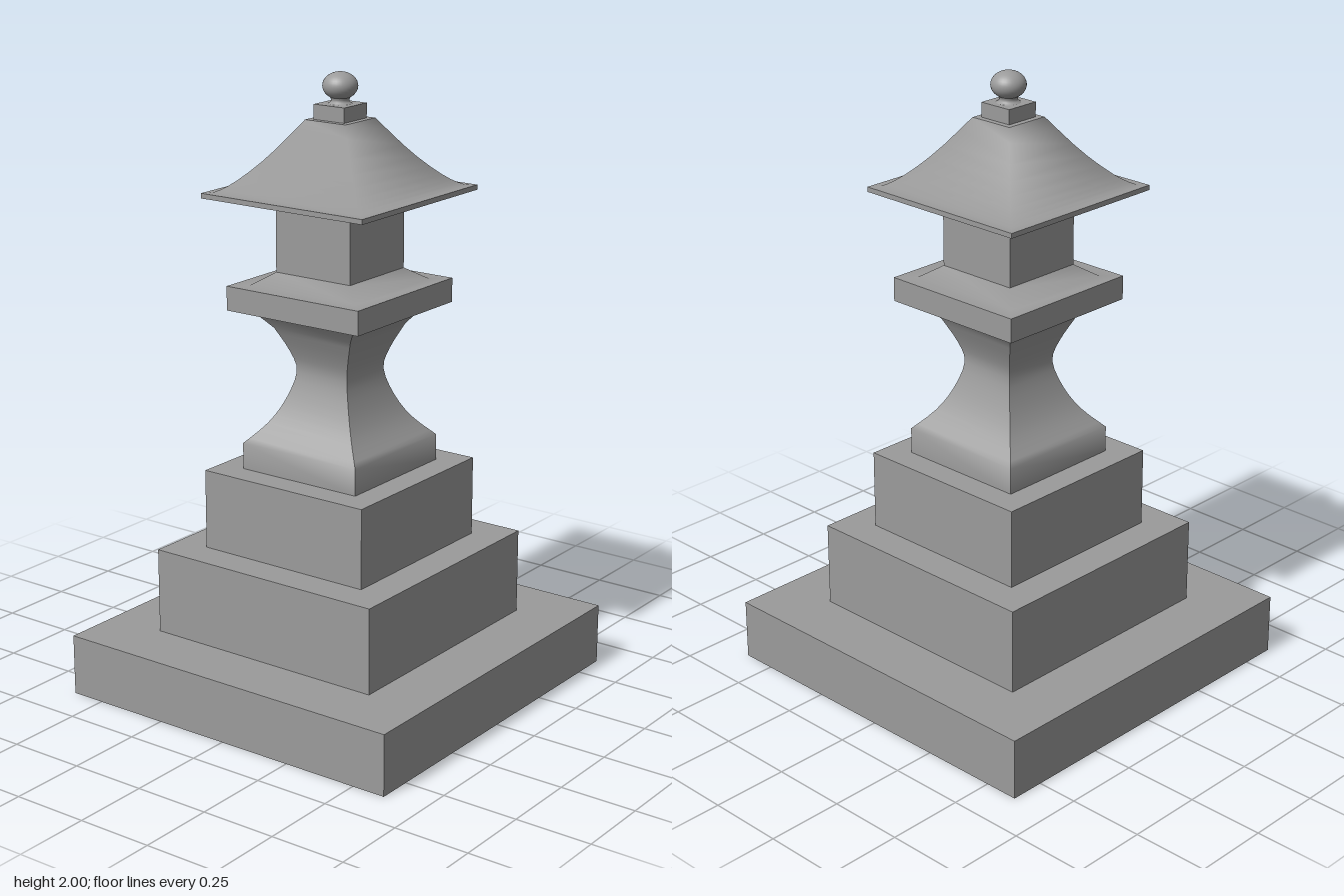
import * as THREE from 'three';
import { toCreasedNormals } from 'three/addons/utils/BufferGeometryUtils.js';

const material = new THREE.MeshStandardMaterial({ color: 0x9b9b9b });

export function createModel() {
  const group = new THREE.Group();

  function add(name, geometry, y = 0) {
    const mesh = new THREE.Mesh(geometry, material);
    mesh.name = name;
    mesh.position.y = y;
    group.add(mesh);
    return mesh;
  }

  // Square block given by its half width and height range
  function block(name, half, y0, y1) {
    add(name, new THREE.BoxGeometry(half * 2, y1 - y0, half * 2), (y0 + y1) / 2);
  }

  // Square-section solid following a [halfWidth, y] profile, bottom to top
  function squareLoft(name, profile, crease) {
    const points = profile.map(([half, y]) => new THREE.Vector2(half * Math.SQRT2, y));
    const geometry = new THREE.LatheGeometry(points, 4, Math.PI / 4);
    add(name, toCreasedNormals(geometry, crease));
  }

  // Smooth run of profile points through a few guides
  const smooth = (guides, count) =>
    new THREE.SplineCurve(guides.map(([a, b]) => new THREE.Vector2(a, b)))
      .getPoints(count).map((p) => [p.x, p.y]);

  // Stepped base
  block('basePlinth', 0.613, 0, 0.2);
  block('middleStep', 0.416, 0.2, 0.48);
  block('upperStep', 0.306, 0.48, 0.74);

  // Waisted post with a flared head
  squareLoft('post', [
    [0.22, 0.74],
    ...smooth([[0.22, 0.825], [0.163, 0.89], [0.123, 0.965], [0.098, 1.053], [0.112, 1.12], [0.148, 1.2]], 15),
    [0.2, 1.262],
  ], 1.0);

  // Platform with a sloped top, and the lamp chamber standing on it
  squareLoft('platform', [
    [0, 1.262], [0.252, 1.262], [0.252, 1.34], [0.2, 1.34], [0.142, 1.379],
  ], 1.0);
  block('lampChamber', 0.142, 1.379, 1.584);

  // Eaves with a sloping soffit, then the concave roof with softened corners
  squareLoft('eaves', [
    [0.142, 1.584], [0.21, 1.606], [0.305, 1.62], [0.305, 1.636], [0.296, 1.636],
  ], 1.3);
  squareLoft('roof', smooth([
    [0.296, 1.636], [0.27, 1.641], [0.225, 1.673], [0.155, 1.748], [0.077, 1.855],
  ], 10), 1.3);

  // Finial on the flat top of the roof
  squareLoft('finialBlock', [
    [0.077, 1.855], [0.058, 1.855], [0.058, 1.902], [0, 1.902],
  ], 0.5);
  const neck = smooth([[0.038, 1.902], [0.028, 1.911], [0.032, 1.925]], 6);
  add('finialNeck', new THREE.LatheGeometry(neck.map(([r, y]) => new THREE.Vector2(r, y)), 24));
  add('finialBall', new THREE.SphereGeometry(0.055, 32, 20), 1.957).scale.y = 0.78;

  return group;
}
